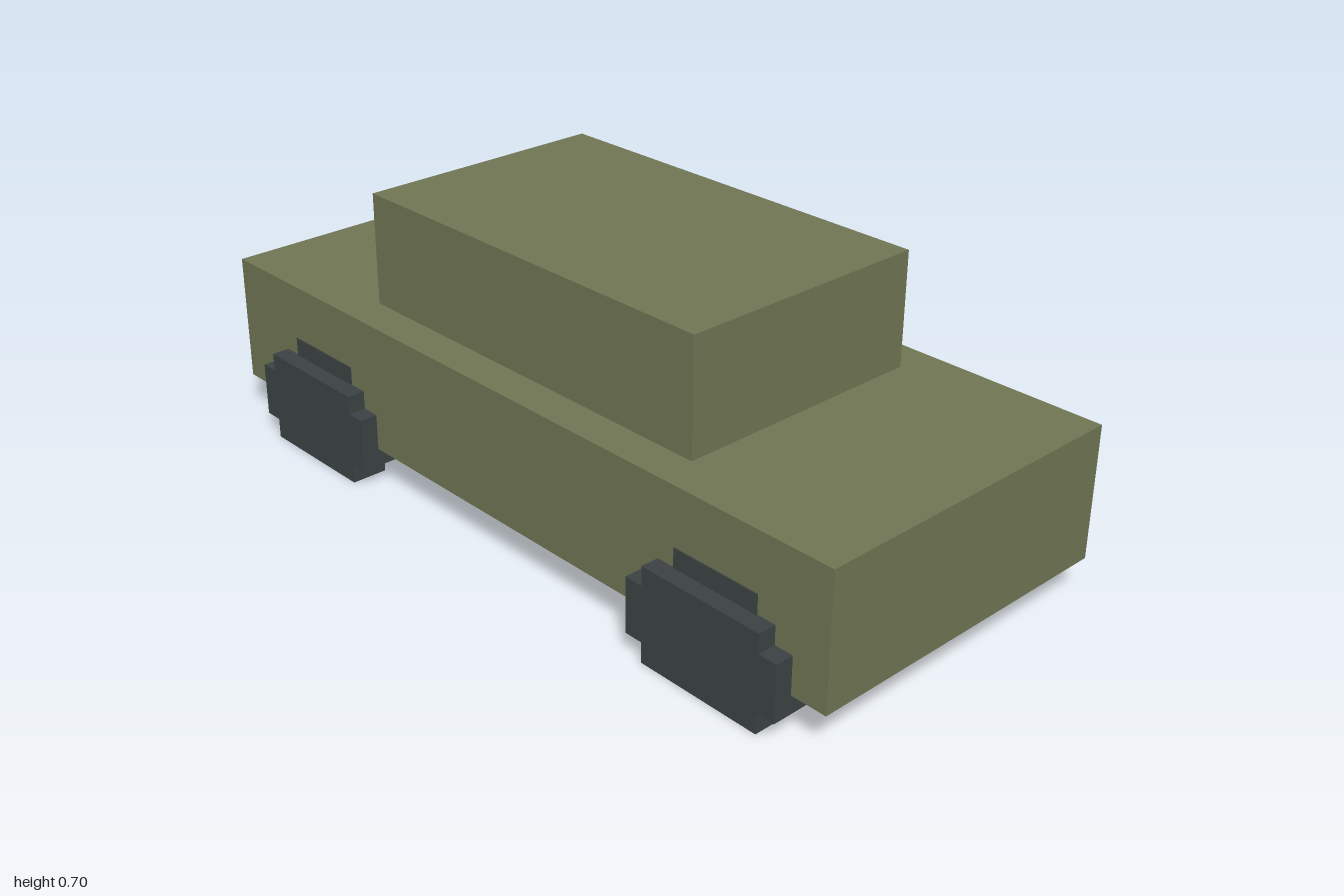
import * as THREE from 'three';

export function createModel() {
  const car = new THREE.Group();
  const paint = new THREE.MeshStandardMaterial({ color: 0x6e7452 });
  paint.name = 'olive paint';
  const rubber = new THREE.MeshStandardMaterial({ color: 0x3b4142 });
  rubber.name = 'dark rubber';
  const glass = new THREE.MeshStandardMaterial({ color: 0x758a8c });
  glass.name = 'window glass';

  // Box given by its two extents on each axis
  function box(parent, name, material, [x0, x1], [y0, y1], [z0, z1]) {
    const mesh = new THREE.Mesh(new THREE.BoxGeometry(x1 - x0, y1 - y0, z1 - z0), material);
    mesh.position.set((x0 + x1) / 2, (y0 + y1) / 2, (z0 + z1) / 2);
    mesh.name = name;
    parent.add(mesh);
  }

  // Body and cabin
  box(car, 'body', paint, [-0.397, 0.44], [0.095, 0.42], [-1, 1]);
  box(car, 'cabin', paint, [-0.303, 0.347], [0.42, 0.7], [-0.535, 0.535]);

  // Rear window: thin plate with cut corners
  const [w, h, c] = [0.28, 0.097, 0.03];
  const pane = new THREE.Shape();
  pane.moveTo(-w + c, -h);
  pane.lineTo(w - c, -h);
  pane.quadraticCurveTo(w, -h, w, -h + c);
  pane.lineTo(w, h - c);
  pane.quadraticCurveTo(w, h, w - c, h);
  pane.lineTo(-w + c, h);
  pane.quadraticCurveTo(-w, h, -w, h - c);
  pane.lineTo(-w, -h + c);
  pane.quadraticCurveTo(-w, -h, -w + c, -h);
  const rearWindow = new THREE.Mesh(
    new THREE.ExtrudeGeometry(pane, { depth: 0.004, bevelEnabled: false }), glass);
  rearWindow.position.set(0.022, 0.547, -0.539);
  rearWindow.name = 'rearWindow';
  car.add(rearWindow);

  // Stepped wheels: each layer is [x range, y range, half width in z]
  const rightSideLayers = [
    [[-0.442, -0.35], [0, 0.05], 0.163],
    [[-0.442, -0.305], [0.05, 0.187], 0.21],
    [[-0.442, -0.35], [0.187, 0.233], 0.163],
    [[-0.35, -0.305], [0, 0.05], 0.046],
    [[-0.4, -0.39], [0.2, 0.28], 0.115],
  ];
  const leftSideLayers = [
    [[0.302, 0.395], [0, 0.05], 0.163],
    [[0.302, 0.395], [0.05, 0.14], 0.21],
    [[0.395, 0.44], [0, 0.05], 0.046],
    [[0.395, 0.44], [0.05, 0.14], 0.163],
    [[0.256, 0.302], [0.05, 0.14], 0.115],
  ];

  // Stepped outline of the wheel face showing on the left flank: [half width, y]
  const steps = [[0.21, 0.095], [0.21, 0.13], [0.2, 0.14], [0.165, 0.142], [0.163, 0.18],
    [0.153, 0.187], [0.125, 0.19], [0.12, 0.22], [0.11, 0.233]];

  function wheel(name, layers, z) {
    const group = new THREE.Group();
    group.name = name;
    for (const [xs, ys, half] of layers) box(group, 'wheelLayer', rubber, xs, ys, [-half, half]);
    group.position.z = z;
    car.add(group);
    return group;
  }

  for (const [end, z, inner] of [['front', 0.7, 0.163], ['rear', -0.65, 0.21]]) {
    wheel(end + 'RightWheel', rightSideLayers, z);
    const left = wheel(end + 'LeftWheel', leftSideLayers, z);
    const outline = [
      ...steps.map(([s, y]) => new THREE.Vector2(-s, y)),
      ...steps.map(([s, y]) => new THREE.Vector2(Math.min(s, inner), y)).reverse(),
    ];
    const face = new THREE.Mesh(new THREE.ExtrudeGeometry(new THREE.Shape(outline),
      { depth: 0.004, bevelEnabled: false }), rubber);
    face.rotation.y = Math.PI / 2;
    face.position.x = 0.438;
    face.name = 'wheelFace';
    left.add(face);
  }
  return car;
}
